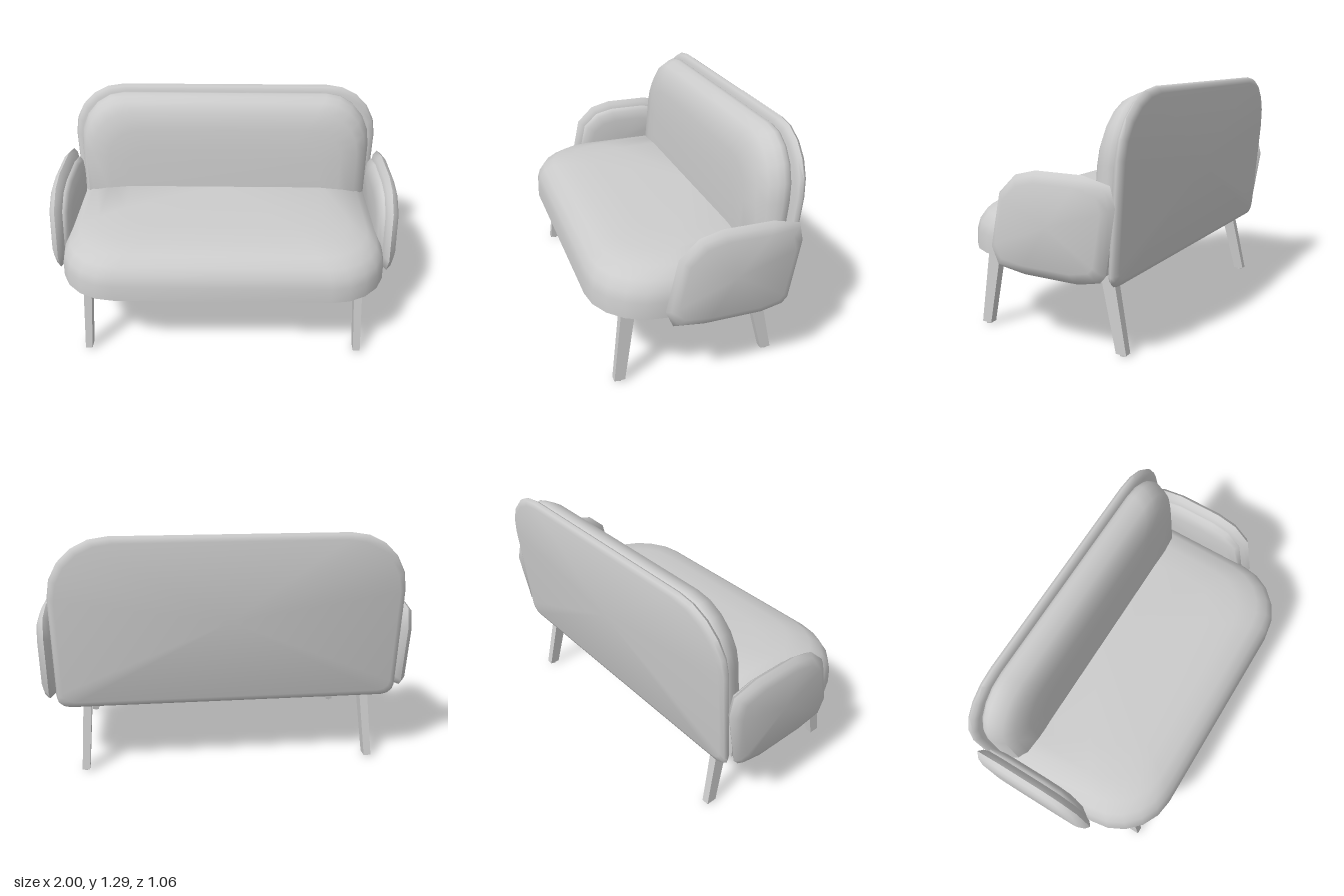
import * as THREE from 'three';
import { toCreasedNormals } from 'three/addons/utils/BufferGeometryUtils.js';

const material = new THREE.MeshStandardMaterial({ color: 0xcccccc, side: THREE.DoubleSide });

function addMesh(parent, name, geometry) {
  const mesh = new THREE.Mesh(geometry, material);
  mesh.name = name;
  parent.add(mesh);
  return mesh;
}

// Points of a quarter-ellipse corner, counter-clockwise from quadrant q
function corner(cx, cy, rx, ry, q, n = 5) {
  const pts = [];
  for (let i = 0; i <= n; i++) {
    const a = (q + i / n) * Math.PI / 2;
    pts.push([cx + rx * Math.cos(a), cy + ry * Math.sin(a)]);
  }
  return pts;
}

// Upholstered body: an outline stacked in layers [height, inset], closed by caps.
// place(u, v, t) puts an outline point at height t into model space.
function padGeometry(outline, layers, place, { pivot, flip = false } = {}) {
  const us = outline.map(p => p[0]), vs = outline.map(p => p[1]);
  const u0 = Math.min(...us), u1 = Math.max(...us), v0 = Math.min(...vs), v1 = Math.max(...vs);
  const [cu, cv] = pivot ?? [(u0 + u1) / 2, (v0 + v1) / 2];
  const hu = Math.max(u1 - cu, cu - u0), hv = Math.max(v1 - cv, cv - v0);
  const n = outline.length, pos = [], idx = [];
  const tri = (a, b, c) => (flip ? idx.push(a, c, b) : idx.push(a, b, c));

  for (const [t, d] of layers) {
    for (const [u, v] of outline) {
      pos.push(...place(cu + (u - cu) * (1 - d / hu), cv + (v - cv) * (1 - d / hv), t));
    }
  }
  const last = layers.length - 1, bottom = n * layers.length, top = bottom + 1;
  pos.push(...place(cu, cv, layers[0][0]), ...place(cu, cv, layers[last][0]));
  for (let i = 0; i < n; i++) {
    const j = (i + 1) % n;
    for (let k = 0; k < last; k++) {
      const a = k * n + i, b = k * n + j;
      tri(a, b, b + n);
      tri(a, b + n, a + n);
    }
    tri(bottom, j, i);
    tri(top, last * n + i, last * n + j);
  }
  const geometry = new THREE.BufferGeometry();
  geometry.setAttribute('position', new THREE.Float32BufferAttribute(pos, 3));
  geometry.setIndex(idx);
  return toCreasedNormals(geometry, 1.2);
}

// Box whose ends are moved and scaled: each end is { x, y, z, w, d }
function taperedBeam(low, high) {
  const geometry = new THREE.BoxGeometry(1, 1, 1);
  const p = geometry.attributes.position;
  for (let i = 0; i < p.count; i++) {
    const e = p.getY(i) < 0 ? low : high;
    p.setXYZ(i, e.x + p.getX(i) * e.w, e.y, e.z + p.getZ(i) * e.d);
  }
  geometry.computeVertexNormals();
  return geometry;
}

export function createModel() {
  const model = new THREE.Group();
  model.name = 'sofa';

  // Seat cushion: flat underneath, crowned on top, rounded front corners
  const seatOutline = [
    [-0.925, 0.42],
    ...corner(-0.595, -0.2, 0.33, 0.33, 2),
    ...corner(0.595, -0.2, 0.33, 0.33, 3),
    [0.925, 0.42],
  ];
  const seatLayers = [[0.44, 0], [0.53, 0.003], [0.58, 0.015], [0.63, 0.045],
    [0.67, 0.10], [0.695, 0.2], [0.71, 0.34]];
  addMesh(model, 'seatCushion', padGeometry(seatOutline, seatLayers,
    (u, v, t) => [u, t, -v], { pivot: [0, 0.3] }));

  // Back parts lean rearwards
  const lean = (u, v, t) => [u, v, t - 0.435 - 0.076 * (v - 0.37)];

  // Thin back shell
  const shellOutline = [
    ...corner(0.615, 0.98, 0.315, 0.31, 0),
    ...corner(-0.615, 0.98, 0.315, 0.31, 1),
    ...corner(-0.85, 0.43, 0.07, 0.06, 2, 3),
    ...corner(0.85, 0.43, 0.07, 0.06, 3, 3),
  ];
  const shellLayers = [[-0.026, 0.035], [-0.017, 0.01], [0, 0], [0.017, 0.01], [0.026, 0.035]];
  addMesh(model, 'backShell', padGeometry(shellOutline, shellLayers, lean));

  // Back cushion
  const backOutline = [
    ...corner(0.61, 0.94, 0.275, 0.32, 0),
    ...corner(-0.61, 0.94, 0.275, 0.32, 1),
    [-0.885, 0.46], [0.885, 0.46],
  ];
  const backLayers = [[0.02, 0.02], [0.045, 0.003], [0.07, 0], [0.10, 0.01], [0.14, 0.03],
    [0.176, 0.08], [0.192, 0.18], [0.197, 0.3]];
  addMesh(model, 'backCushion', padGeometry(backOutline, backLayers, lean));

  // Armrests: (z, y) outline, layered outwards along x
  const armOutline = [
    [0.22, 0.50], [0.16, 0.78], [0.06, 0.875], [-0.06, 0.905], [-0.32, 0.905], [-0.465, 0.87],
    [-0.49, 0.77], [-0.44, 0.45], [-0.41, 0.415], [-0.29, 0.388], [0.02, 0.388], [0.18, 0.41],
  ];
  const armLayers = [[-1.0, 0.055], [-0.985, 0.02], [-0.96, 0], [-0.935, 0.02], [-0.92, 0.055]];
  const armPadLayers = [[-0.94, 0.045], [-0.915, 0.045], [-0.895, 0.065], [-0.882, 0.12]];

  for (const [side, s] of [['left', 1], ['right', -1]]) {
    const arm = new THREE.Group();
    arm.name = side + 'Armrest';
    const place = (u, v, t) => [-s * t, v, u];
    // Layers run from outside to inside
    addMesh(arm, 'armShell', padGeometry(armOutline, armLayers,
      place, { flip: s < 0 ? !isOutward(place) : !isOutward(place) }));
    addMesh(arm, 'armPad', padGeometry(armOutline, armPadLayers, place, { flip: !isOutward(place) }));
    model.add(arm);

    // Splayed legs with small feet, joined by a rail under the seat
    const base = new THREE.Group();
    base.name = side + 'LegFrame';
    for (const [name, zLow, zHigh] of [['frontLeg', 0.41, 0.35], ['rearLeg', -0.43, -0.33]]) {
      addMesh(base, name, taperedBeam(
        { x: s * 0.788, y: 0.01, z: zLow, w: 0.04, d: 0.058 },
        { x: s * 0.763, y: 0.44, z: zHigh, w: 0.046, d: 0.076 }));
      addMesh(base, name + 'Foot', new THREE.CylinderGeometry(0.015, 0.015, 0.012, 12))
        .position.set(s * 0.788, 0.006, zLow);
    }
    addMesh(base, 'sideRail', new THREE.BoxGeometry(0.04, 0.032, 0.68)).position.set(s * 0.763, 0.425, 0.01);
    model.add(base);
  }
  return model;
}

// True when a placement keeps counter-clockwise outlines facing outwards
function isOutward(place) {
  const o = new THREE.Vector3(...place(0, 0, 0));
  const [u, v, t] = [[1, 0, 0], [0, 1, 0], [0, 0, 1]].map(a => new THREE.Vector3(...place(...a)).sub(o));
  return u.cross(v).dot(t) > 0;
}
